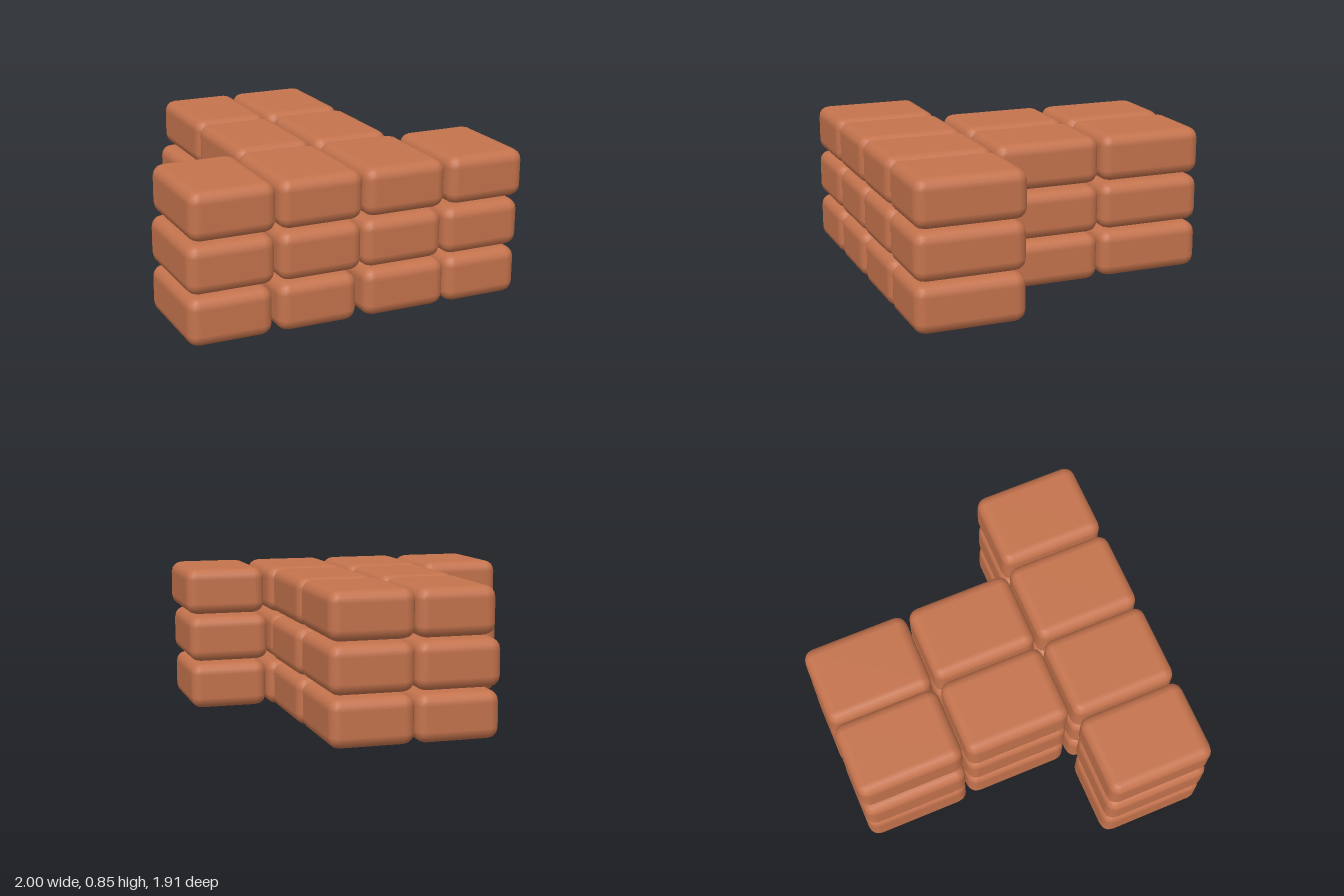
import * as THREE from 'three';
import { RoundedBoxGeometry } from 'three/addons/geometries/RoundedBoxGeometry.js';

const HEIGHT = 0.273;
const DEPTH = 0.627;

// Bottom of each course
const COURSES = [0.003, 0.29, 0.577];

// Each row: its z centre, then the [left edge, right edge] of its bricks per course
const ROWS = [
  { name: 'frontRow', z: 0.643, courses: [
    [[-1, -0.52], [-0.49, -0.025], [0.015, 0.515], [0.52, 0.98]],
    [[-1, -0.505], [-0.485, 0], [0.005, 0.49], [0.505, 0.985]],
    [[-0.985, -0.497], [-0.485, 0.005], [0.015, 0.505], [0.525, 1]],
  ] },
  { name: 'middleRow', z: 0, courses: [
    [[-0.465, 0.008], [0.02, 0.495]],
    [[-0.465, 0], [0.015, 0.5]],
    [[-0.465, 0.002], [0.018, 0.49]],
  ] },
  { name: 'backRow', z: -0.645, courses: [
    [[-0.482, 0], [0.005, 0.485]],
    [[-0.49, 0], [0.005, 0.485]],
    [[-0.457, 0], [0.003, 0.487]],
  ] },
];

export function createModel() {
  const model = new THREE.Group();
  model.name = 'brickStack';
  const clay = new THREE.MeshStandardMaterial({ name: 'clay', color: 0xc4734d });

  for (const row of ROWS) {
    const group = new THREE.Group();
    group.name = row.name;
    row.courses.forEach((bricks, level) => {
      // Slightly uneven soft-edged bricks
      bricks.forEach(([x0, x1], i) => {
        const brick = new THREE.Mesh(new RoundedBoxGeometry(x1 - x0, HEIGHT, DEPTH, 2, 0.065), clay);
        brick.name = `brick${level + 1}_${i + 1}`;
        brick.position.set((x0 + x1) / 2, COURSES[level] + HEIGHT / 2, row.z);
        group.add(brick);
      });
    });
    model.add(group);
  }
  return model;
}
